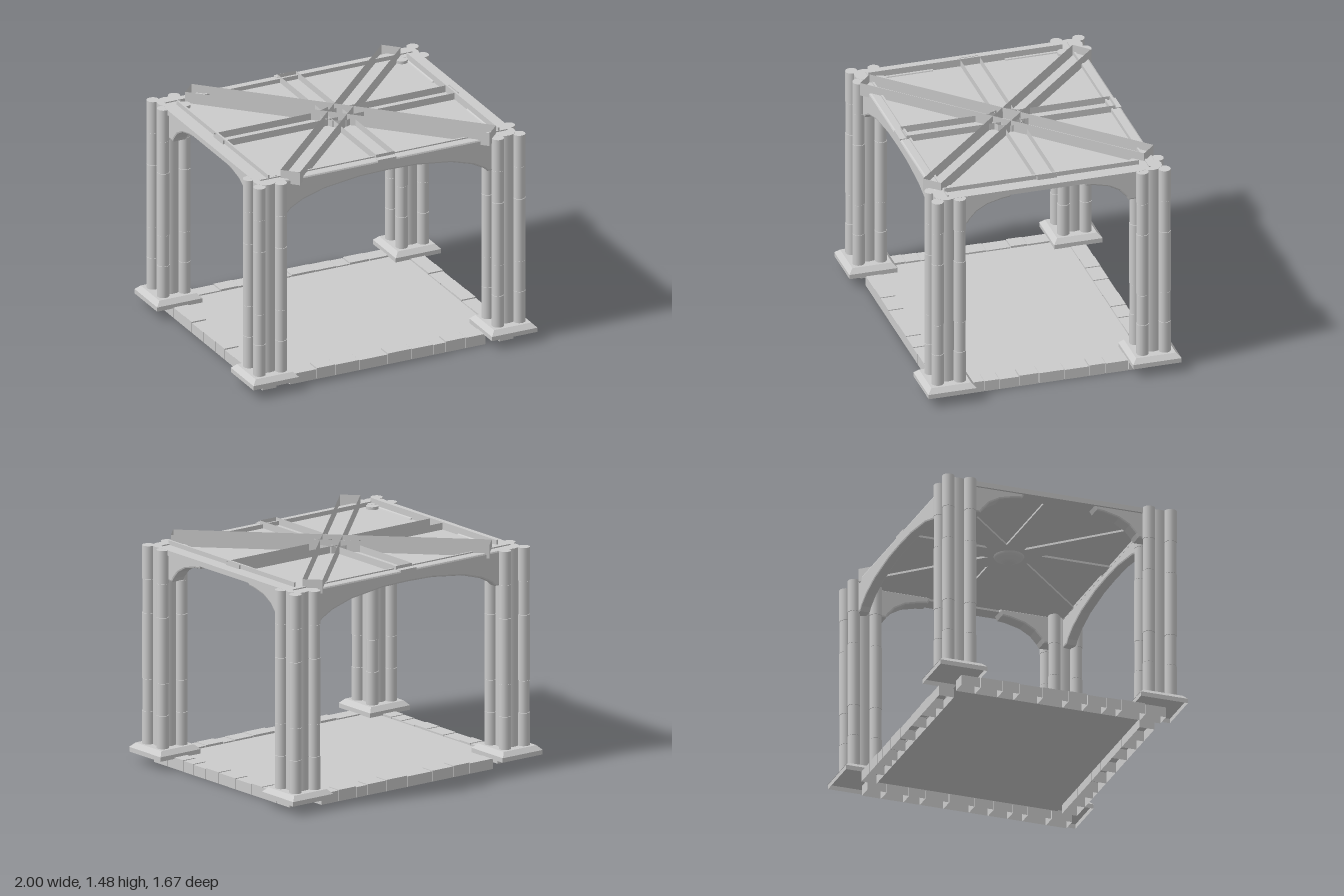
import * as THREE from 'three';

const mat = new THREE.MeshStandardMaterial({ color: 0xcccccc, side: THREE.DoubleSide });
const flat = new THREE.MeshStandardMaterial({ color: 0xcccccc, side: THREE.DoubleSide, flatShading: true });

function add(parent, name, geo, x = 0, y = 0, z = 0, m = mat) {
  const mesh = new THREE.Mesh(geo, m);
  mesh.name = name;
  mesh.position.set(x, y, z);
  parent.add(mesh);
  return mesh;
}

// Box without some of its faces (0 +x, 1 -x, 2 top, 3 bottom, 4 +z, 5 -z)
function openBox(w, h, d, missing) {
  const g = new THREE.BoxGeometry(w, h, d);
  g.setIndex(Array.from(g.index.array).filter((_, i) => !missing.includes(Math.floor(i / 6))));
  g.clearGroups();
  return g;
}

function extrude(points, depth, bevel) {
  const shape = new THREE.Shape(points.map(p => new THREE.Vector2(...p)));
  const g = new THREE.ExtrudeGeometry(shape, {
    depth: depth - 2 * bevel, bevelEnabled: bevel > 0, bevelThickness: bevel,
    bevelSize: bevel, bevelOffset: -bevel, bevelSegments: 2
  });
  return g.translate(0, 0, bevel - depth / 2);
}

// Clustered column: four shafts around a core, on a chamfered plinth
function makeColumn() {
  const col = new THREE.Group();
  col.name = 'column';
  const plinth = new THREE.Group();
  plinth.name = 'plinth';
  col.add(plinth);
  add(plinth, 'plinthSlab', openBox(0.32, 0.03, 0.315, [2, 3]), 0, 0.08, 0);
  const slope = new THREE.CylinderGeometry(0.131 * Math.SQRT2, 0.16 * Math.SQRT2, 0.03, 4, 1);
  slope.rotateY(Math.PI / 4);
  add(plinth, 'plinthChamfer', slope, 0, 0.11, 0, flat);

  // Stacked drums, with a fine joint between them
  const joints = [0.12, 0.34, 0.55, 0.98, 1.2, 1.42];
  for (let i = 0; i < joints.length - 1; i++) {
    const h = joints[i + 1] - joints[i], y = joints[i] + h / 2;
    const r = i % 2 ? 0.038 : 0.0395;
    add(col, 'core', new THREE.CylinderGeometry(0.076, 0.076, h, 16), 0, y, 0);
    for (const sx of [-1, 1]) for (const sz of [-1, 1])
      add(col, 'shaft', new THREE.CylinderGeometry(r, r, h - 0.002, 16), sx * 0.075, y, sz * 0.073);
  }
  return col;
}

// Row of kerb stones, hollow underneath; edges run along x
function makeKerb(edges) {
  const kerb = new THREE.Group();
  kerb.name = 'kerb';
  for (let i = 0; i < edges.length - 1; i++) {
    const w = edges[i + 1] - edges[i], h = 0.068 + 0.003 * ((i * 2) % 3);
    add(kerb, 'kerbStone', openBox(w - 0.004, h, 0.1, [3]), edges[i] + w / 2, h / 2, 0);
  }
  return kerb;
}

// Open-topped rib running along x
function makeRib(name, length, top, width = 0.128) {
  const h = top - 1.386;
  const rib = new THREE.Group();
  rib.name = name;
  add(rib, name + 'Channel', openBox(length, h, width, [2]), 0, 1.386 + h / 2, 0);
  return rib;
}

export function createModel() {
  const root = new THREE.Group();
  root.name = 'vaultedBay';

  // Floor and its kerb
  add(root, 'floor', new THREE.PlaneGeometry(1.58, 1.26).rotateX(-Math.PI / 2), 0, 0.06, 0);
  const longEdges = [-0.69, -0.5, -0.37, -0.2, 0, 0.17, 0.32, 0.41, 0.55, 0.69];
  const sideEdges = [-0.73, -0.59, -0.43, -0.33, -0.2, -0.07, 0.1, 0.26, 0.37, 0.52, 0.65];
  for (const s of [-1, 1]) {
    const row = makeKerb(longEdges);
    row.position.z = s * 0.675;
    root.add(row);
    const side = makeKerb(sideEdges);
    side.rotation.y = Math.PI / 2;
    side.position.x = s * 0.835;
    root.add(side);
  }

  // Corner columns
  for (const sx of [-1, 1]) for (const sz of [-1, 1]) {
    const col = makeColumn();
    col.position.set(sx * 0.84, 0, sz * 0.675);
    root.add(col);
  }

  // Front and back arches
  const half = [[0.74, 1.19], [0.705, 1.19], [0.68, 1.215], [0.6, 1.258], [0.45, 1.303], [0.2, 1.335]];
  const archPoints = [...half.map(([x, y]) => [-x, y]), [0, 1.34], ...half.slice().reverse(),
    [0.82, 1.19], [0.82, 1.42], [-0.82, 1.42], [-0.82, 1.19]];
  for (const s of [-1, 1]) {
    add(root, 'arch', extrude(archPoints, 0.07, 0.012), 0, 0, s * 0.695);
    add(root, 'keystone', new THREE.BoxGeometry(0.13, 0.05, 0.04), -0.005, 1.4, s * 0.71);
    add(root, 'archLip', new THREE.BoxGeometry(1.74, 0.045, 0.012), 0, 1.405, s * 0.665);
  }

  // Side beams with curved brackets at both ends
  const bracket = [[0.62, 1.215], [0.53, 1.215], [0.515, 1.24], [0.47, 1.29], [0.4, 1.33],
    [0.3, 1.355], [0.25, 1.36], [0.235, 1.386], [0.235, 1.41], [0.62, 1.41]];
  for (const s of [-1, 1]) {
    add(root, 'sideBeam', openBox(0.09, 0.034, 1.29, [2]), s * 0.86, 1.403, 0.025);
    add(root, 'sideBeamTop', new THREE.PlaneGeometry(0.09, 1.29).rotateX(-Math.PI / 2), s * 0.86, 1.42, 0.025);
    add(root, 'sideBeamLip', new THREE.BoxGeometry(0.012, 0.064, 1.28), s * 0.81, 1.418, 0.03);
    for (const e of [-1, 1]) {
      const b = add(root, 'sideBracket', extrude(bracket, 0.1, 0.012), s * 0.84, 0, 0.01);
      b.rotation.y = e * Math.PI / 2;
    }
  }

  // Ceiling panel
  add(root, 'ceilingPanel', new THREE.PlaneGeometry(1.66, 1.36).rotateX(-Math.PI / 2), 0, 1.4, 0);

  // Diagonal and straight ribs meeting in the middle
  for (const s of [-1, 1]) {
    const rib = makeRib('diagonalRib', 2.02, 1.475);
    rib.rotation.y = s * Math.PI / 4;
    rib.position.set(0.025, 0, 0.015);
    root.add(rib);
  }
  root.add(makeRib('crossRib', 1.66, 1.445));
  const longRib = makeRib('lengthRib', 1.38, 1.445);
  longRib.rotation.y = Math.PI / 2;
  root.add(longRib);

  // Central ring and hanging boss
  add(root, 'centreRing', new THREE.CylinderGeometry(0.12, 0.12, 0.05, 8, 1, true), 0.01, 1.42, 0.01, flat);
  const bossProfile = [[0, 1.338], [0.03, 1.34], [0.055, 1.352], [0.065, 1.362], [0.09, 1.372], [0.1, 1.39]]
    .map(p => new THREE.Vector2(...p));
  add(root, 'boss', new THREE.LatheGeometry(bossProfile, 20), 0.01, 0, 0.01);

  return root;
}
